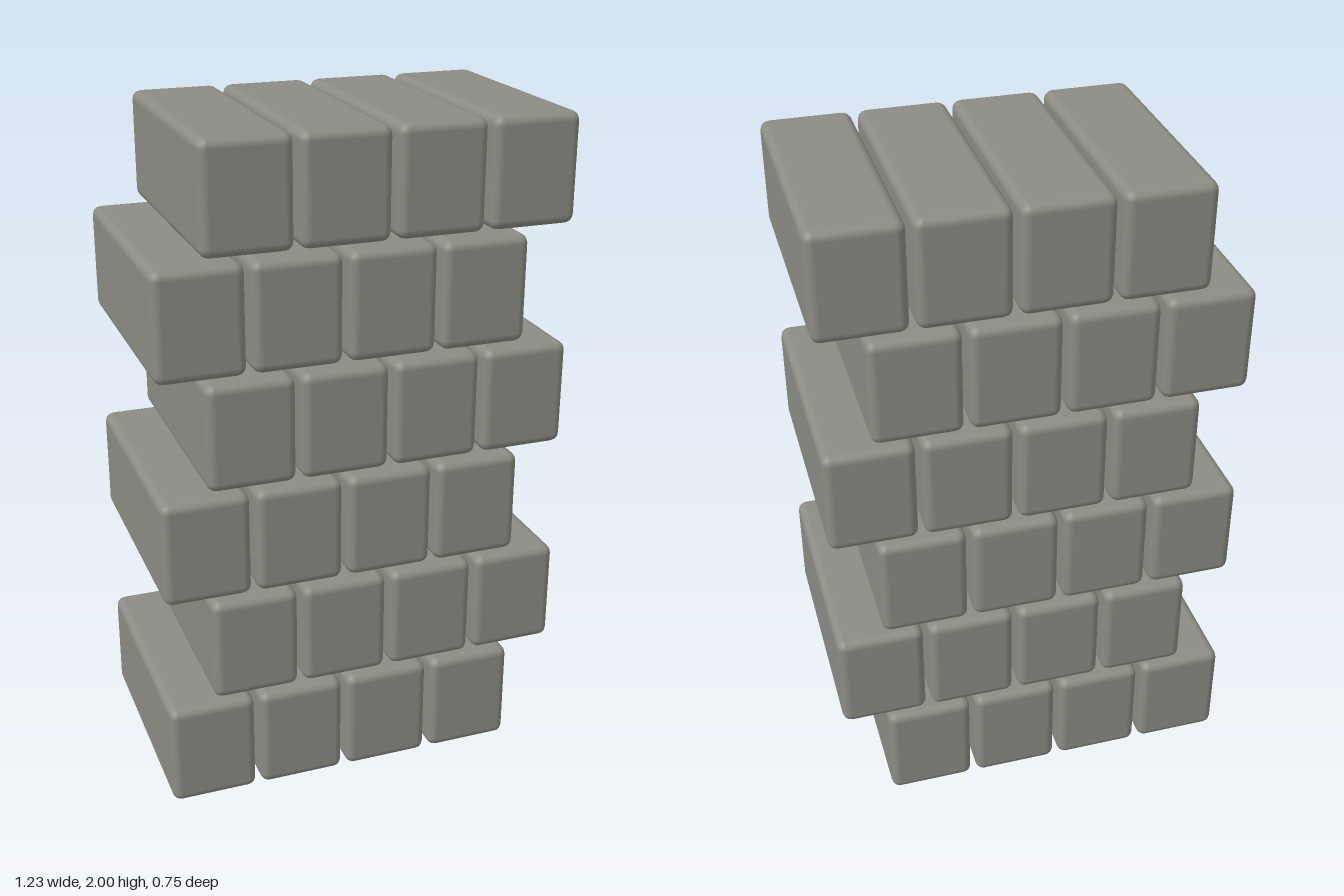
import * as THREE from 'three';
import { RoundedBoxGeometry } from 'three/addons/geometries/RoundedBoxGeometry.js';

const ROWS = 6, PER_ROW = 4;
const W = 0.261, H = 0.318, D = 0.748;       // brick size
const STEP_X = 0.278, STEP_Y = 0.3364;       // brick size plus joint
const SHIFT = STEP_X / 4;                    // half of the offset between courses

export function createModel() {
  const wall = new THREE.Group();
  wall.name = 'brickStack';
  const material = new THREE.MeshStandardMaterial({ color: 0x8c8c84 });
  const brick = new RoundedBoxGeometry(W, H, D, 2, 0.027);

  // Courses alternate left and right in running bond
  for (let r = 0; r < ROWS; r++) {
    const course = new THREE.Group();
    course.name = `course${r + 1}`;
    course.position.set(r % 2 ? SHIFT : -SHIFT, 2 - H / 2 - (ROWS - 1 - r) * STEP_Y, 0);
    for (let i = 0; i < PER_ROW; i++) {
      const mesh = new THREE.Mesh(brick, material);
      mesh.name = `brick${i + 1}`;
      mesh.position.x = (i - (PER_ROW - 1) / 2) * STEP_X;
      course.add(mesh);
    }
    wall.add(course);
  }
  return wall;
}
